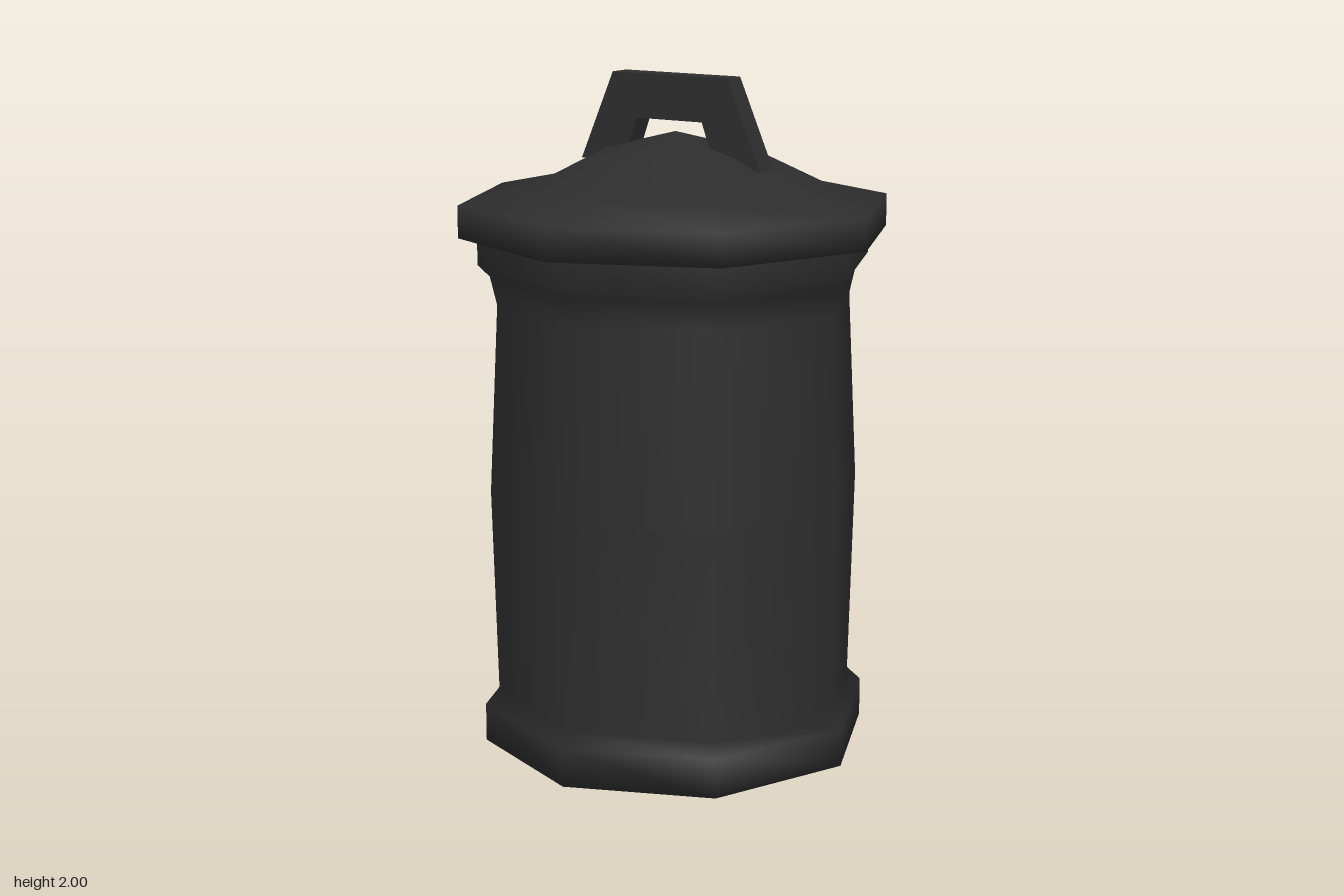
import * as THREE from 'three';

const SIDES = 8;

// Smooth-shaded octagonal turning from [radius, height] pairs, bottom to top
function turned(name, profile, material) {
  const points = profile.map(([r, y]) => new THREE.Vector2(r, y));
  const mesh = new THREE.Mesh(new THREE.LatheGeometry(points, SIDES), material);
  mesh.name = name;
  return mesh;
}

export function createModel() {
  const group = new THREE.Group();
  group.name = 'lidded bin';
  const charcoal = new THREE.MeshStandardMaterial({ color: 0x2d2d2d });
  charcoal.name = 'charcoal';

  // Body: flared foot, slightly bulging wall, flared collar
  group.add(turned('body', [
    [0, 0], [0.585, 0], [0.585, 0.115], [0.543, 0.155],
    [0.558, 0.78], [0.53, 1.34], [0.55, 1.425], [0.585, 1.46], [0.585, 1.55],
  ], charcoal));

  // Lid: overhanging rim with a shallow stepped dome
  group.add(turned('lid', [
    [0, 1.54], [0.64, 1.54], [0.64, 1.635], [0.44, 1.678], [0.24, 1.775], [0, 1.835],
  ], charcoal));

  // Handle: tapered arch standing diagonally across the lid
  const arch = new THREE.Shape([
    [-0.312, 1.74], [-0.198, 2], [0.198, 2], [0.312, 1.74],
    [0.16, 1.74], [0.113, 1.87], [-0.113, 1.87], [-0.16, 1.74],
  ].map(([x, y]) => new THREE.Vector2(x, y)));
  const thickness = 0.07;
  const geometry = new THREE.ExtrudeGeometry(arch, { depth: thickness, bevelEnabled: false });
  geometry.translate(0, 0, -thickness / 2);
  const handle = new THREE.Mesh(geometry, charcoal);
  handle.name = 'handle';
  handle.rotation.y = -Math.PI / 4;
  group.add(handle);

  return group;
}
